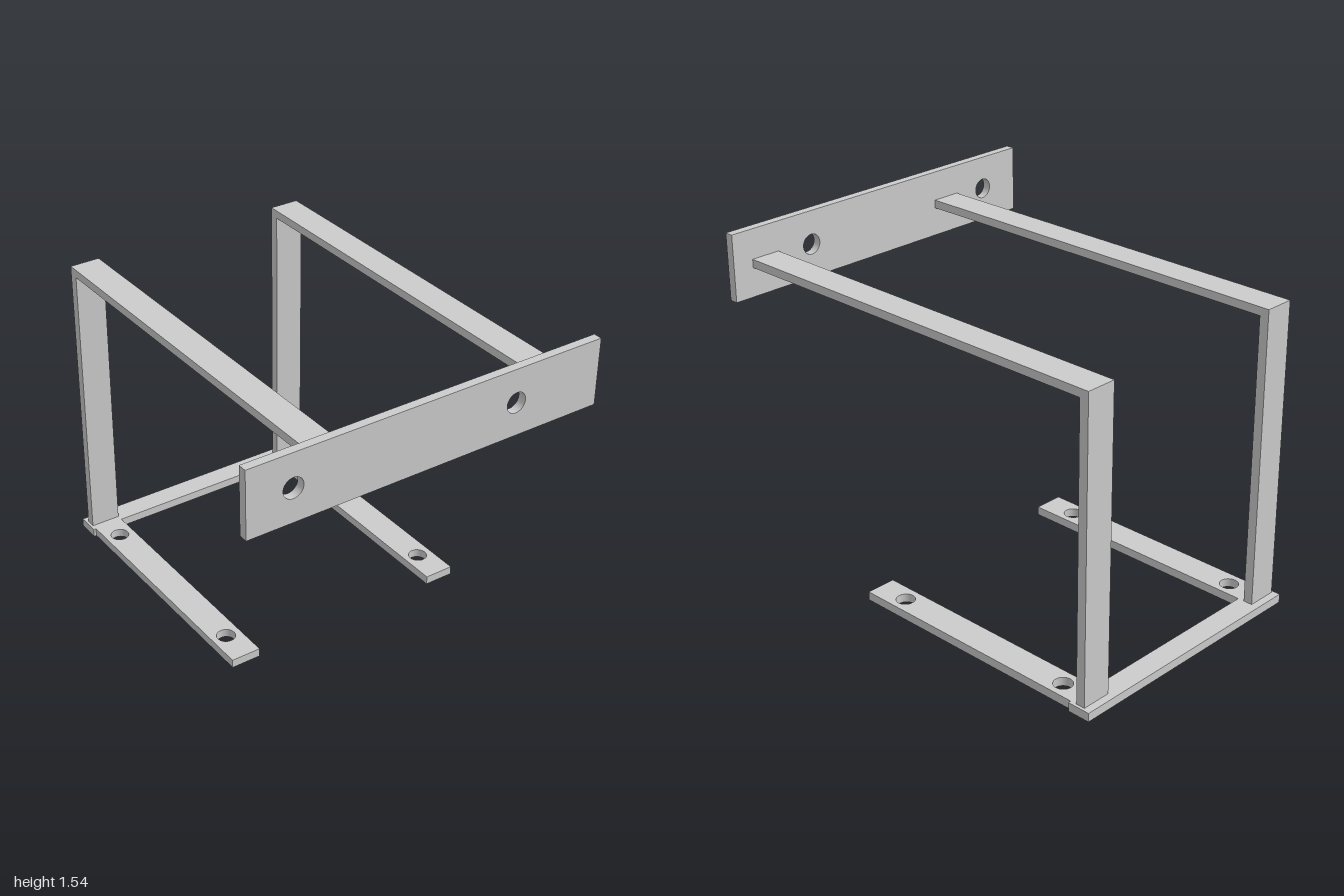
import * as THREE from 'three';

const material = new THREE.MeshStandardMaterial({ color: 0xcccccc, flatShading: true });

function addMesh(group, name, geometry) {
  const mesh = new THREE.Mesh(geometry, material);
  mesh.name = name;
  group.add(mesh);
  return mesh;
}

// Box given by its lower and upper limits
function addBar(group, name, [x0, y0, z0], [x1, y1, z1]) {
  const mesh = addMesh(group, name, new THREE.BoxGeometry(x1 - x0, y1 - y0, z1 - z0));
  mesh.position.set((x0 + x1) / 2, (y0 + y1) / 2, (z0 + z1) / 2);
}

// Flat strip with round holes, lying in XY and extruded along +z
function drilledStrip(x0, y0, x1, y1, depth, holes, radius) {
  const shape = new THREE.Shape([
    new THREE.Vector2(x0, y0), new THREE.Vector2(x1, y0),
    new THREE.Vector2(x1, y1), new THREE.Vector2(x0, y1),
  ]);
  for (const [x, y] of holes) {
    shape.holes.push(new THREE.Path().absarc(x, y, radius, 0, Math.PI * 2, true));
  }
  return new THREE.ExtrudeGeometry(shape, { depth, bevelEnabled: false, curveSegments: 32 });
}

export function createModel() {
  const model = new THREE.Group();
  model.name = 'bracketFrame';
  const t = 0.04; // stock thickness
  const half = 0.07; // half width of the flat bars

  // Front mounting plate with two screw holes
  const plate = addMesh(model, 'mountingPlate',
    drilledStrip(-0.84, 1.235, 0.84, 1.54, t, [[-0.633, 1.387], [0.417, 1.387]], 0.046));
  plate.position.z = 0.96;

  // Rear cross bar on the ground
  addBar(model, 'crossBar', [-0.475, 0, -1], [0.755, t, -0.893]);

  // Two side frames: drilled foot, upright and top arm
  for (const [side, x] of [['right', -0.393], ['left', 0.671]]) {
    const frame = new THREE.Group();
    frame.name = side + 'Frame';
    frame.position.x = x;

    const foot = addMesh(frame, side + 'Foot',
      drilledStrip(-half, -0.3, half, 0.893, t, [[0, -0.14], [0, 0.787]], 0.042));
    foot.rotation.x = -Math.PI / 2;

    addBar(frame, side + 'Upright', [-half, t, -0.965], [half, 1.367, -0.922]);
    addBar(frame, side + 'Arm', [-half, 1.367, -0.965], [half, 1.405, 0.96]);
    model.add(frame);
  }
  return model;
}
